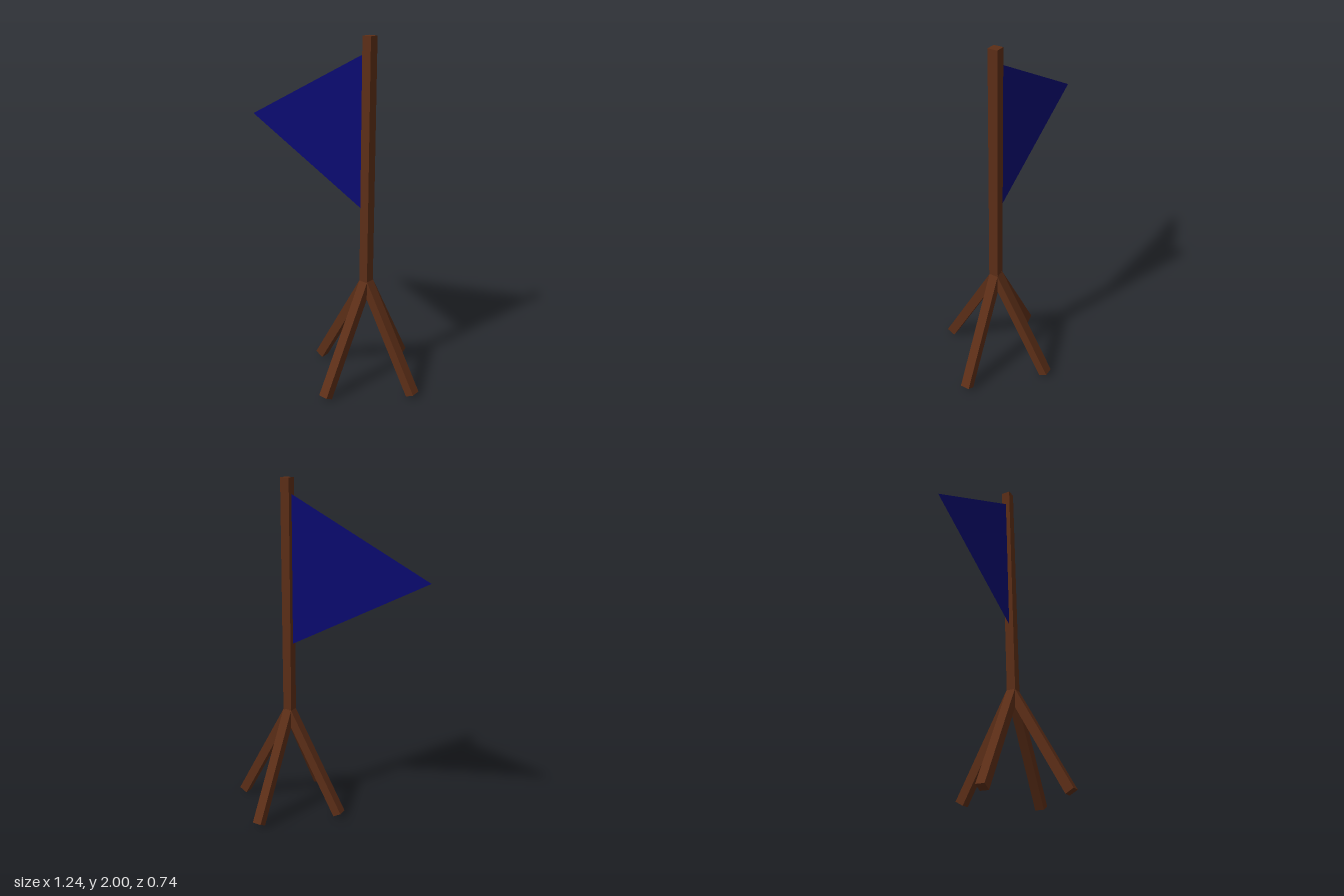
import * as THREE from 'three';

const UP = new THREE.Vector3(0, 1, 0);

// Square beam running from one point to another
function beam(name, from, to, width, material) {
  const a = new THREE.Vector3(...from);
  const b = new THREE.Vector3(...to);
  const dir = b.clone().sub(a);
  const length = dir.length();
  const mesh = new THREE.Mesh(new THREE.BoxGeometry(width, length, width), material);
  mesh.name = name;
  mesh.position.copy(a).add(b).multiplyScalar(0.5);
  mesh.quaternion.setFromUnitVectors(UP, dir.normalize());
  return mesh;
}

export function createModel() {
  const model = new THREE.Group();
  model.name = 'pennantOnStand';
  const wood = new THREE.MeshStandardMaterial({ color: 0x5c2e17, flatShading: true });
  const cloth = new THREE.MeshStandardMaterial({ color: 0x0a0a70, flatShading: true, side: THREE.DoubleSide });

  // Slightly leaning pole
  model.add(beam('pole', [0.25, 0.61, 0], [0.235, 1.999, -0.016], 0.055, wood));

  // Four splayed legs meeting under the pole
  const feet = {
    leftLeg: [0.595, 0.014, -0.004],
    rightLeg: [-0.095, 0.014, -0.006],
    frontLeg: [0.238, 0.014, 0.343],
    backLeg: [0.262, 0.014, -0.346],
  };
  for (const [name, foot] of Object.entries(feet)) {
    model.add(beam(name, foot, [0.25, 0.625, -0.002], 0.055, wood));
  }

  // Triangular flag, its straight edge set in the pole
  const flagGeometry = new THREE.BufferGeometry().setFromPoints([
    new THREE.Vector3(0.236, 1.923, -0.015),
    new THREE.Vector3(-0.62, 1.478, 0.014),
    new THREE.Vector3(0.245, 1.032, -0.005),
  ]);
  flagGeometry.computeVertexNormals();
  const flag = new THREE.Mesh(flagGeometry, cloth);
  flag.name = 'flag';
  model.add(flag);

  return model;
}
